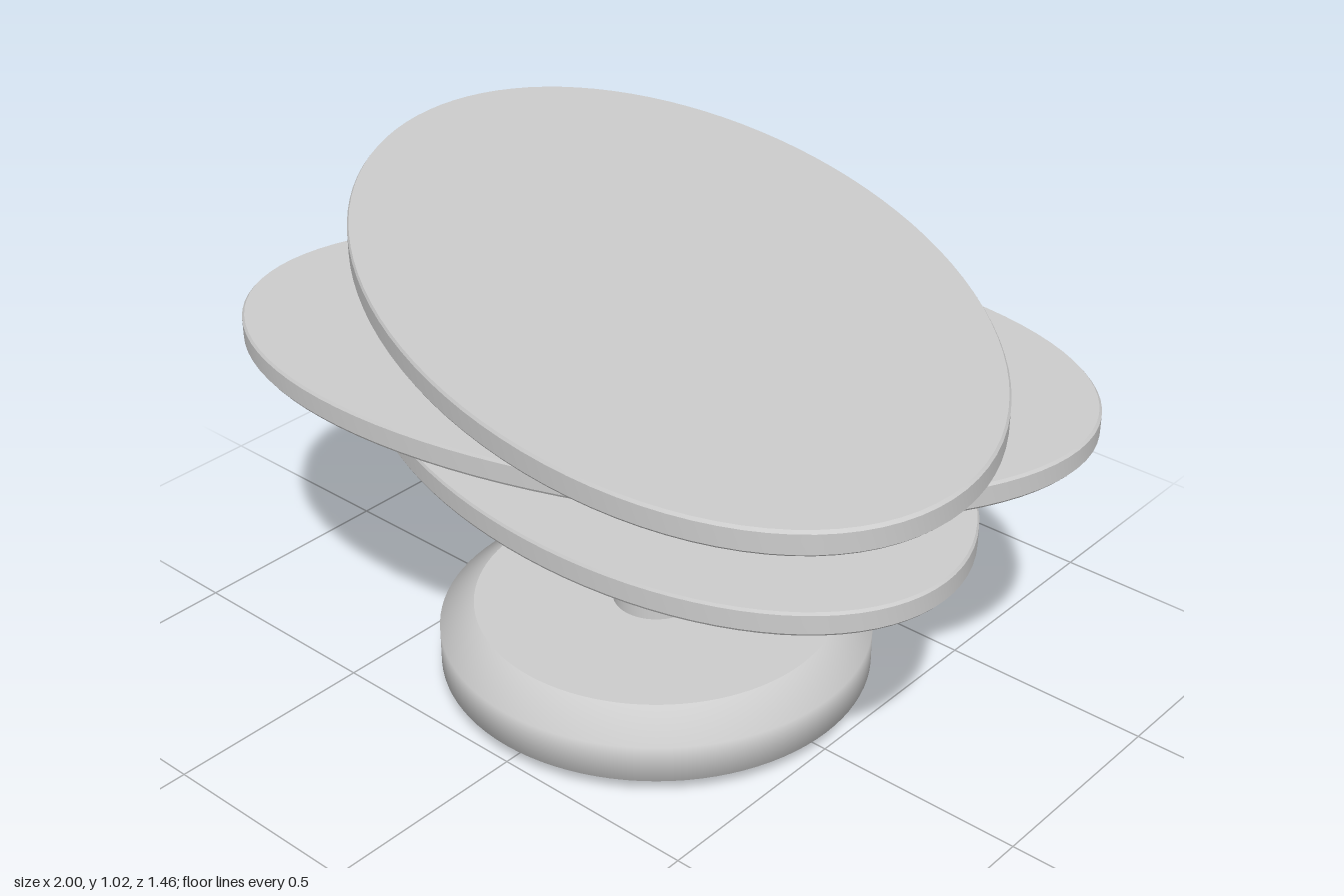
import * as THREE from 'three';
import { toCreasedNormals } from 'three/addons/utils/BufferGeometryUtils.js';

const SEGMENTS = 96;

export function createModel() {
  const model = new THREE.Group();
  model.name = 'tieredStand';
  const grey = new THREE.MeshStandardMaterial({ color: 0xcccccc });
  grey.name = 'light grey';

  const add = (name, geometry, y = 0) => {
    const mesh = new THREE.Mesh(geometry, grey);
    mesh.name = name;
    mesh.position.y = y;
    model.add(mesh);
    return mesh;
  };
  const lathe = (points) =>
    new THREE.LatheGeometry(points.map(([r, y]) => new THREE.Vector2(r, y)), SEGMENTS);
  const cylinder = (name, radius, bottom, top) =>
    add(name, new THREE.CylinderGeometry(radius, radius, top - bottom, SEGMENTS), (bottom + top) / 2);

  // Foot plate and rounded base with a flat top
  cylinder('footPlate', 0.44, 0, 0.018);
  add('baseSide', lathe([[0.44, 0.025], [0.5, 0.045], [0.5, 0.135], [0.42, 0.19]]));
  add('baseTop', new THREE.CircleGeometry(0.42, SEGMENTS).rotateX(-Math.PI / 2), 0.19);
  add('baseUnderside', new THREE.CircleGeometry(0.44, SEGMENTS).rotateX(Math.PI / 2), 0.025);

  // Central column
  cylinder('column', 0.1, 0.015, 0.99);

  // Elliptical shelves, each twisted about the column, with a round collar below
  const thickness = 0.055, bevel = 0.006;
  const shelves = [
    { name: 'lower', y: 0.607, a: 0.861, b: 0.523, turn: -11.5 },
    { name: 'middle', y: 0.784, a: 0.962, b: 0.563, turn: 21.2 },
    { name: 'upper', y: 0.969, a: 1.078, b: 0.609, turn: -27 },
  ];
  for (const { name, y, a, b, turn } of shelves) {
    const disc = toCreasedNormals(lathe([
      [0, 0], [1 - bevel, 0], [1, bevel],
      [1, thickness - bevel], [1 - bevel, thickness], [0, thickness],
    ]), 0.5);
    disc.scale(a, 1, b);
    add(name + 'Shelf', disc, y).rotation.y = THREE.MathUtils.degToRad(turn);
    cylinder(name + 'Collar', 0.255, y - 0.043, y - 0.006);
  }
  return model;
}
